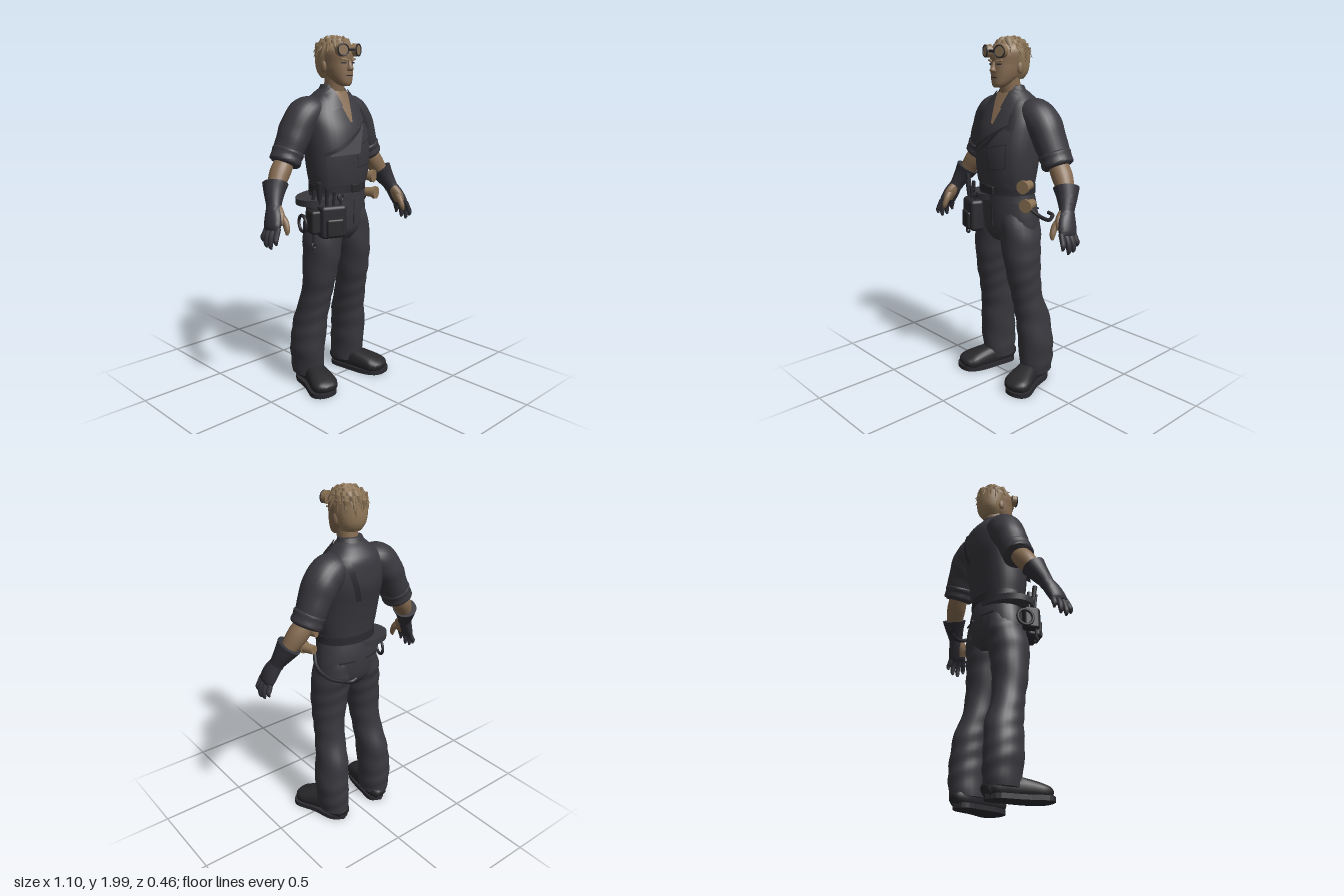
import * as THREE from 'three';
import { toCreasedNormals } from 'three/addons/utils/BufferGeometryUtils.js';
import { RoundedBoxGeometry } from 'three/addons/geometries/RoundedBoxGeometry.js';

const paint = (name, color) => {
  const m = new THREE.MeshStandardMaterial({ color, side: THREE.DoubleSide });
  m.name = name;
  return m;
};
const V = (x, y, z) => new THREE.Vector3(x, y, z);

// Smooth interpolation through rings [x, y, z, rx, rz]
function ringAt(rings, t) {
  const n = rings.length - 1, i = Math.min(Math.floor(t * n), n - 1), f = t * n - i;
  const g = k => rings[Math.max(0, Math.min(n, k))];
  return rings[i].map((_, c) => {
    const [a, b, d, e] = [g(i - 1)[c], g(i)[c], g(i + 1)[c], g(i + 2)[c]];
    return b + 0.5 * f * (d - a + f * (2 * a - 5 * b + 4 * d - e + f * (3 * (b - d) + e - a)));
  });
}
const pow = (v, p) => Math.sign(v) * Math.abs(v) ** p;

// Closed skin over rings; rings follow the path unless flat is set
function loft(rings, { flat = false, ref = V(0, 0, 1), p = 1, sides = 24, steps = 5, fold = 0 } = {}) {
  const pos = [], index = [], count = (rings.length - 1) * steps;
  for (let i = 0; i <= count; i++) {
    const t = i / count, r = ringAt(rings, t);
    const a = ringAt(rings, Math.max(0, t - 0.01)), b = ringAt(rings, Math.min(1, t + 0.01));
    const dir = flat ? V(0, Math.sign(b[1] - a[1]), 0) : V(b[0] - a[0], b[1] - a[1], b[2] - a[2]).normalize();
    const u = dir.clone().cross(ref).normalize(), v = u.clone().cross(dir);
    for (let k = 0; k < sides; k++) {
      const an = k / sides * Math.PI * 2;
      const w = 1 + fold * Math.sin(r[1] * 48 + 2.5 * Math.sin(an + r[1] * 9));
      const q = V(r[0], r[1], r[2]).addScaledVector(u, r[3] * w * pow(Math.cos(an), p))
        .addScaledVector(v, r[4] * w * pow(Math.sin(an), p));
      pos.push(q.x, q.y, q.z);
      if (i < count) {
        const s = i * sides + k, e = i * sides + (k + 1) % sides;
        index.push(s, s + sides, e, e, s + sides, e + sides);
      }
    }
  }
  const last = count * sides, c = pos.length / 3, f = rings[0], l = rings[rings.length - 1];
  pos.push(f[0], f[1], f[2], l[0], l[1], l[2]);
  for (let k = 0; k < sides; k++) {
    const m = (k + 1) % sides;
    index.push(c, k, m, c + 1, last + m, last + k);
  }
  const g = new THREE.BufferGeometry();
  g.setAttribute('position', new THREE.Float32BufferAttribute(pos, 3));
  g.setIndex(index);
  return toCreasedNormals(g, 0.9);
}

const TORSO = [[0, 1.1, 0.005, 0.178, 0.13], [0, 1.16, 0.01, 0.172, 0.125], [0, 1.26, 0.01, 0.188, 0.138],
  [0, 1.38, 0, 0.196, 0.152], [0, 1.48, -0.02, 0.198, 0.155], [0, 1.56, -0.037, 0.195, 0.138],
  [0, 1.63, -0.05, 0.16, 0.115], [0, 1.68, -0.045, 0.108, 0.085], [0, 1.71, -0.035, 0.075, 0.06]];
const TP = 0.88;

// Depth of the shirt at (x, y), front or back
function torsoZ(x, y, side) {
  let lo = 0, hi = 1;
  for (let i = 0; i < 22; i++) ringAt(TORSO, (lo + hi) / 2)[1] < y ? lo = (lo + hi) / 2 : hi = (lo + hi) / 2;
  const r = ringAt(TORSO, lo), c = Math.min(1, Math.abs(x) / r[3]) ** (1 / TP);
  return r[2] + side * r[4] * Math.sqrt(Math.max(0, 1 - c * c)) ** TP;
}
// Four-cornered cloth panel laid on the torso
function panel(corners, off, side = 1, n = 10) {
  const g = new THREE.PlaneGeometry(1, 1, n, n), a = g.attributes.position;
  for (let i = 0; i < a.count; i++) {
    const u = a.getX(i) + 0.5, v = 0.5 - a.getY(i);
    const mix = k => (corners[0][k] * (1 - u) + corners[1][k] * u) * (1 - v) + (corners[3][k] * (1 - u) + corners[2][k] * u) * v;
    const x = mix(0), y = mix(1);
    a.setXYZ(i, x, y, torsoZ(x, y, side) + side * off);
  }
  g.computeVertexNormals();
  return g;
}
const strip = (a, b, w, off, side) => {
  const d = Math.hypot(b[0] - a[0], b[1] - a[1]), nx = -(b[1] - a[1]) / d * w / 2, ny = (b[0] - a[0]) / d * w / 2;
  return panel([[a[0] - nx, a[1] - ny], [a[0] + nx, a[1] + ny], [b[0] + nx, b[1] + ny], [b[0] - nx, b[1] - ny]], off, side);
};
const tube = (pts, r) => new THREE.TubeGeometry(new THREE.CatmullRomCurve3(pts.map(q => V(...q))), 24, r, 8);

export function createModel() {
  const root = new THREE.Group();
  const cloth = paint('charcoal cloth', 0x38383e), trim = paint('dark trim', 0x2b2b30), leather = paint('boot leather', 0x28282b);
  const glove = paint('glove', 0x33333a), skin = paint('skin', 0x866c52), hair = paint('hair', 0x937a5b), tan = paint('tan gear', 0x8c7355);
  const add = (name, geo, mat, at, rot) => {
    const m = new THREE.Mesh(geo, mat);
    m.name = name;
    if (at) m.position.set(...at);
    if (rot) m.rotation.set(...rot);
    root.add(m);
    return m;
  };

  // Torso, open neck, collar and bib
  add('shirt', loft(TORSO, { flat: true, p: TP, sides: 36 }), cloth);
  add('openNeck', panel([[-0.055, 1.695], [0.055, 1.695], [0.008, 1.53], [-0.008, 1.53]], 0.006), skin);
  add('collarBand', loft([[0, 1.66, -0.045, 0.1, 0.08], [0, 1.7, -0.038, 0.082, 0.066], [0, 1.73, -0.035, 0.07, 0.055]], { flat: true }), cloth);
  add('bib', panel([[-0.17, 1.36], [0.14, 1.54], [0.15, 1.2], [-0.15, 1.2]], 0.006), cloth);
  add('bibHem', strip([-0.175, 1.355], [0.145, 1.545], 0.016, 0.009, 1), trim);
  add('bibPocket', panel([[0, 1.4], [0.125, 1.43], [0.125, 1.3], [0.015, 1.28]], 0.01), cloth);
  [[[0, 1.4], [0.125, 1.43]], [[0.125, 1.43], [0.125, 1.3]], [[0.125, 1.3], [0.015, 1.28]], [[0.015, 1.28], [0, 1.4]]]
    .forEach(([a, b]) => add('pocketSeam', strip(a, b, 0.005, 0.012, 1), trim));
  add('frontStrap', strip([0.115, 1.65], [0.135, 1.5], 0.035, 0.012, 1), trim);
  add('backStrapUpper', strip([0.115, 1.65], [0.04, 1.4], 0.032, 0.009, -1), trim);
  add('backStrapLower', strip([0.04, 1.41], [0.1, 1.2], 0.03, 0.009, -1), cloth);
  const flap = new THREE.BufferGeometry();
  const A = [-0.16, 1.35, 0.12], B = [0.09, 1.52, 0.125], C = [-0.04, 1.37, 0.23], E = [0, 1.41, 0.15];
  flap.setAttribute('position', new THREE.Float32BufferAttribute([A, C, B, A, E, C, C, E, B].flat(), 3));
  flap.computeVertexNormals();
  add('hangingBibFlap', flap, cloth);

  // Hips and belts
  add('hips', loft([[0, 0.865, 0, 0.14, 0.085], [0, 0.92, -0.002, 0.195, 0.122], [0, 1.0, -0.003, 0.2, 0.134],
    [0, 1.08, 0, 0.188, 0.134], [0, 1.17, 0.01, 0.172, 0.125]], { flat: true, sides: 32 }), cloth);
  const ring = (y, h, rx, rz) => loft([[0, y, 0.008, rx, rz], [0, y + h, 0.008, rx, rz]], { flat: true, sides: 32, steps: 1 });
  add('belt', ring(1.145, 0.045, 0.182, 0.137), trim);
  add('toolBelt', ring(1.1, 0.035, 0.189, 0.14), cloth, null, [0, 0, 0.08]);
  add('buckle', new RoundedBoxGeometry(0.06, 0.045, 0.015, 2, 0.005), leather, [0.01, 1.167, 0.146]);
  add('flySeam', new THREE.BoxGeometry(0.006, 0.14, 0.006), trim, [0.01, 1.03, 0.131]);
  add('backPocketHem', new THREE.BoxGeometry(0.1, 0.008, 0.008), trim, [0.085, 1.04, -0.123], [0, -0.25, 0]);
  add('backPocketHem', new THREE.BoxGeometry(0.1, 0.008, 0.008), trim, [-0.085, 1.04, -0.123], [0, 0.25, 0]);

  for (const s of [1, -1]) {
    const flip = rings => rings.map(([x, ...r]) => [x * s, ...r]);
    add('collarFlap', panel([[0.05, 1.705], [0.105, 1.675], [0.115, 1.59], [0.03, 1.615]].map(([x, y]) => [x * s, y]), 0.016), cloth);

    // Trouser leg and boot
    add('trouserLeg', loft(flip([[0.16, 0.06, -0.075, 0.083, 0.1], [0.163, 0.14, -0.076, 0.09, 0.108], [0.165, 0.25, -0.068, 0.094, 0.112],
      [0.152, 0.4, -0.055, 0.09, 0.108], [0.138, 0.55, -0.018, 0.087, 0.094], [0.128, 0.7, 0.002, 0.096, 0.106],
      [0.113, 0.85, 0.005, 0.108, 0.118], [0.1, 0.96, -0.002, 0.1, 0.126], [0.09, 1.04, 0, 0.085, 0.115]]), { flat: true, fold: 0.022, steps: 7 }), cloth);
    add('boot', loft(flip([[0.15, 0.035, -0.168, 0.035, 0.028], [0.15, 0.055, -0.13, 0.058, 0.05], [0.162, 0.066, -0.03, 0.06, 0.062],
      [0.185, 0.06, 0.05, 0.07, 0.056], [0.208, 0.05, 0.12, 0.08, 0.045], [0.215, 0.043, 0.16, 0.064, 0.034],
      [0.218, 0.035, 0.178, 0.03, 0.02]]), { ref: V(0, 1, 0), p: 0.8 }), leather);
    const outline = [[0.15, 0.172], [0.09, 0.13], [0.1, 0.02], [0.12, -0.1], [0.16, -0.17], [0.22, -0.186], [0.28, -0.165], [0.3, -0.11], [0.25, 0], [0.215, 0.12]];
    const shape = new THREE.Shape().setFromPoints(new THREE.SplineCurve([...outline, outline[0]].map(([x, y]) => new THREE.Vector2(x * s, y))).getPoints(40));
    add('bootSole', new THREE.ExtrudeGeometry(shape, { depth: 0.026, bevelEnabled: false }).rotateX(-Math.PI / 2), trim);

    // Sleeve with rolled cuff, forearm
    add('sleeve', loft(flip([[0.1, 1.6, -0.055, 0.07, 0.085], [0.16, 1.575, -0.06, 0.096, 0.1], [0.215, 1.52, -0.066, 0.096, 0.104],
      [0.26, 1.44, -0.07, 0.087, 0.097], [0.3, 1.355, -0.07, 0.078, 0.088]]), { fold: 0.02 }), cloth);
    add('rolledCuff', loft(flip([[0.286, 1.388, -0.07, 0.07, 0.08], [0.292, 1.375, -0.07, 0.086, 0.094], [0.305, 1.35, -0.07, 0.083, 0.09],
      [0.318, 1.322, -0.069, 0.085, 0.092], [0.324, 1.31, -0.069, 0.07, 0.075]])), cloth);
    add('forearm', loft(flip([[0.31, 1.34, -0.068, 0.05, 0.055], [0.36, 1.275, -0.056, 0.056, 0.058], [0.4, 1.215, -0.04, 0.048, 0.05], [0.44, 1.14, -0.01, 0.036, 0.038]])), skin);

    // Glove, fingers and bare thumb side
    add('gloveCuff', loft(flip([[0.41, 1.215, -0.04, 0.066, 0.074], [0.43, 1.175, -0.024, 0.055, 0.06], [0.455, 1.12, 0.002, 0.04, 0.045], [0.463, 1.095, 0.012, 0.036, 0.044]])), glove);
    add('palm', loft(flip([[0.46, 1.11, 0.005, 0.035, 0.04], [0.482, 1.06, 0.03, 0.036, 0.055], [0.503, 1.01, 0.046, 0.03, 0.058], [0.51, 0.99, 0.05, 0.02, 0.05]])), glove);
    add('barePalmPatch', loft(flip([[0.455, 1.1, 0.025, 0.024, 0.03], [0.465, 1.06, 0.052, 0.026, 0.04], [0.482, 1.02, 0.062, 0.022, 0.036]])), skin);
    for (let i = 0; i < 4; i++) {
      const z = 0.008 + i * 0.029, low = [0.93, 0.905, 0.9, 0.925][i], b = 0.012 - Math.abs(i - 1.5) * 0.006;
      add('finger', loft(flip([[0.503, 1.01, z, 0.015, 0.015], [0.52 + b, 0.965, z + (i - 1.5) * 0.004, 0.015, 0.0155],
        [0.527 + b, low + 0.02, z + (i - 1.5) * 0.007, 0.0125, 0.0135], [0.522 + b, low, z + (i - 1.5) * 0.007, 0.005, 0.006]]), { sides: 10, steps: 3 }), glove);
    }
    add('thumb', loft(flip([[0.465, 1.08, 0.045, 0.02, 0.022], [0.452, 1.04, 0.085, 0.018, 0.02], [0.455, 0.995, 0.108, 0.015, 0.016], [0.46, 0.97, 0.112, 0.006, 0.007]]), { sides: 10 }), skin);

    // Ear, eye, brow, goggle lens
    add('ear', new THREE.SphereGeometry(1, 12, 8).scale(0.012, 0.032, 0.02), skin, [0.08 * s, 1.825, -0.015]);
    add('eye', new THREE.BoxGeometry(0.026, 0.008, 0.006), trim, [0.033 * s, 1.845, 0.096], [0, 0.35 * s, 0]);
    add('brow', new RoundedBoxGeometry(0.042, 0.01, 0.014, 2, 0.004), hair, [0.035 * s, 1.863, 0.098], [0, 0.35 * s, 0.12 * s]);
    add('goggleRim', new THREE.CylinderGeometry(0.032, 0.036, 0.032, 20), tan, [0.052 * s, 1.913, 0.1], [Math.PI / 2, 0, -0.35 * s]);
    add('goggleRing', new THREE.TorusGeometry(0.031, 0.004, 6, 20), trim, [0.057 * s, 1.913, 0.115], [0, 0.35 * s, 0]);
  }

  // Neck, head and face
  add('neck', loft([[0, 1.62, -0.035, 0.066, 0.064], [0, 1.7, -0.018, 0.056, 0.06], [0, 1.79, -0.005, 0.056, 0.062]], { flat: true }), skin);
  add('head', loft([[0, 1.722, 0.073, 0.022, 0.022], [0, 1.738, 0.058, 0.042, 0.045], [0, 1.77, 0.03, 0.061, 0.075], [0, 1.81, 0.01, 0.073, 0.095],
    [0, 1.85, -0.002, 0.078, 0.106], [0, 1.9, -0.008, 0.083, 0.112], [0, 1.95, -0.012, 0.07, 0.095], [0, 1.968, -0.012, 0.04, 0.05]], { flat: true, p: 0.92 }), skin);
  add('nose', loft([[0, 1.803, 0.1, 0.017, 0.014], [0, 1.813, 0.11, 0.018, 0.02], [0, 1.835, 0.106, 0.011, 0.014], [0, 1.86, 0.1, 0.009, 0.01]], { flat: true, sides: 10 }), skin);
  add('mouth', new THREE.BoxGeometry(0.042, 0.005, 0.006), trim, [0, 1.777, 0.104]);
  add('goggleBridge', new THREE.BoxGeometry(0.05, 0.014, 0.016), trim, [0, 1.913, 0.112]);

  // Hair cap and swept locks
  add('hairTop', new THREE.SphereGeometry(1, 24, 10, 0, Math.PI * 2, 0, Math.PI / 2).scale(0.096, 0.075, 0.114), hair, [0, 1.905, -0.014]);
  add('hairBack', loft([[0, 1.765, -0.045, 0.055, 0.05], [0, 1.8, -0.05, 0.076, 0.068], [0, 1.85, -0.045, 0.088, 0.083], [0, 1.915, -0.035, 0.094, 0.092]], { flat: true }), hair);
  const lock = new THREE.ConeGeometry(0.022, 0.085, 5).scale(1, 1, 0.5);
  for (let row = 0; row < 6; row++) for (let k = 0, n = [5, 9, 13, 15, 15, 13][row]; k < n; k++) {
    const th = 0.22 + row * 0.3, ph = (k + row * 0.37) / n * Math.PI * 2, front = Math.cos(ph);
    if (row > 3 && front > [0.25, -0.1][row - 4]) continue;
    const out = V(Math.sin(th) * Math.sin(ph), Math.cos(th), Math.sin(th) * front);
    const down = V(Math.cos(th) * Math.sin(ph + 0.3), -Math.sin(th), Math.cos(th) * Math.cos(ph + 0.3));
    const dir = down.addScaledVector(out, 0.22 + 0.15 * Math.sin(k * 2.4 + row)).normalize();
    const side = dir.clone().cross(out).normalize();
    const m = add('hairLock', lock, hair, [out.x * 0.096, 1.9 + out.y * 0.077, -0.016 + out.z * 0.11]);
    m.quaternion.setFromRotationMatrix(new THREE.Matrix4().makeBasis(side, dir, side.clone().cross(dir)));
  }

  // Tool pouch on the right hip
  add('toolPouch', new RoundedBoxGeometry(0.15, 0.18, 0.08, 3, 0.02), trim, [-0.155, 1.0, 0.13], [0, -0.35, 0]);
  add('pouchPocket', new RoundedBoxGeometry(0.1, 0.1, 0.03, 3, 0.012), leather, [-0.168, 0.97, 0.168], [0, -0.35, 0]);
  add('sidePouch', new RoundedBoxGeometry(0.06, 0.13, 0.09, 3, 0.015), leather, [-0.235, 1.0, 0.07], [0, -0.35, 0]);
  [[-0.22, 1.13, 0.1, 0.014, 0.18], [-0.195, 1.11, 0.13, 0.011, 0.16], [-0.155, 1.1, 0.14, 0.009, 0.13], [-0.235, 1.1, 0.06, 0.01, 0.14]]
    .forEach(([x, y, z, r, h], i) => add('toolHandle', new THREE.CylinderGeometry(r, r * 0.8, h, 10), trim, [x, y, z], [0.1, 0, 0.12 - i * 0.08]));
  add('wrenchJaw', new THREE.TorusGeometry(0.018, 0.007, 6, 14, 4.6), trim, [-0.11, 1.13, 0.15], [0, 0, 2.2]);
  add('wrenchShaft', new THREE.CylinderGeometry(0.007, 0.007, 0.1, 8), trim, [-0.11, 1.07, 0.15]);
  add('hangingSpanner', new THREE.CylinderGeometry(0.007, 0.007, 0.12, 8), trim, [-0.255, 0.94, 0.09]);
  add('spannerRing', new THREE.TorusGeometry(0.014, 0.006, 8, 16), trim, [-0.255, 0.87, 0.09]);
  add('hangingCoil', new THREE.TorusGeometry(0.045, 0.009, 8, 24), trim, [-0.265, 0.985, 0.01], [0, 1.3, 0]);

  // Canisters and hook on the left hip
  for (const [x, y, z] of [[0.2, 1.205, 0.05], [0.222, 1.105, 0.05]]) {
    add('canister', new THREE.CylinderGeometry(0.03, 0.026, 0.075, 16), tan, [x, y, z], [Math.PI / 2, 0, -0.3]);
    add('canisterLid', new THREE.CylinderGeometry(0.037, 0.037, 0.018, 16), tan, [x + 0.011, y, z + 0.036], [Math.PI / 2, 0, -0.3]);
  }
  add('hook', tube([[0.2, 1.08, 0.03], [0.228, 1.025, -0.03], [0.21, 0.985, -0.12], [0.165, 0.98, -0.19], [0.14, 0.985, -0.222], [0.105, 0.992, -0.222]], 0.011), trim);
  return root;
}
